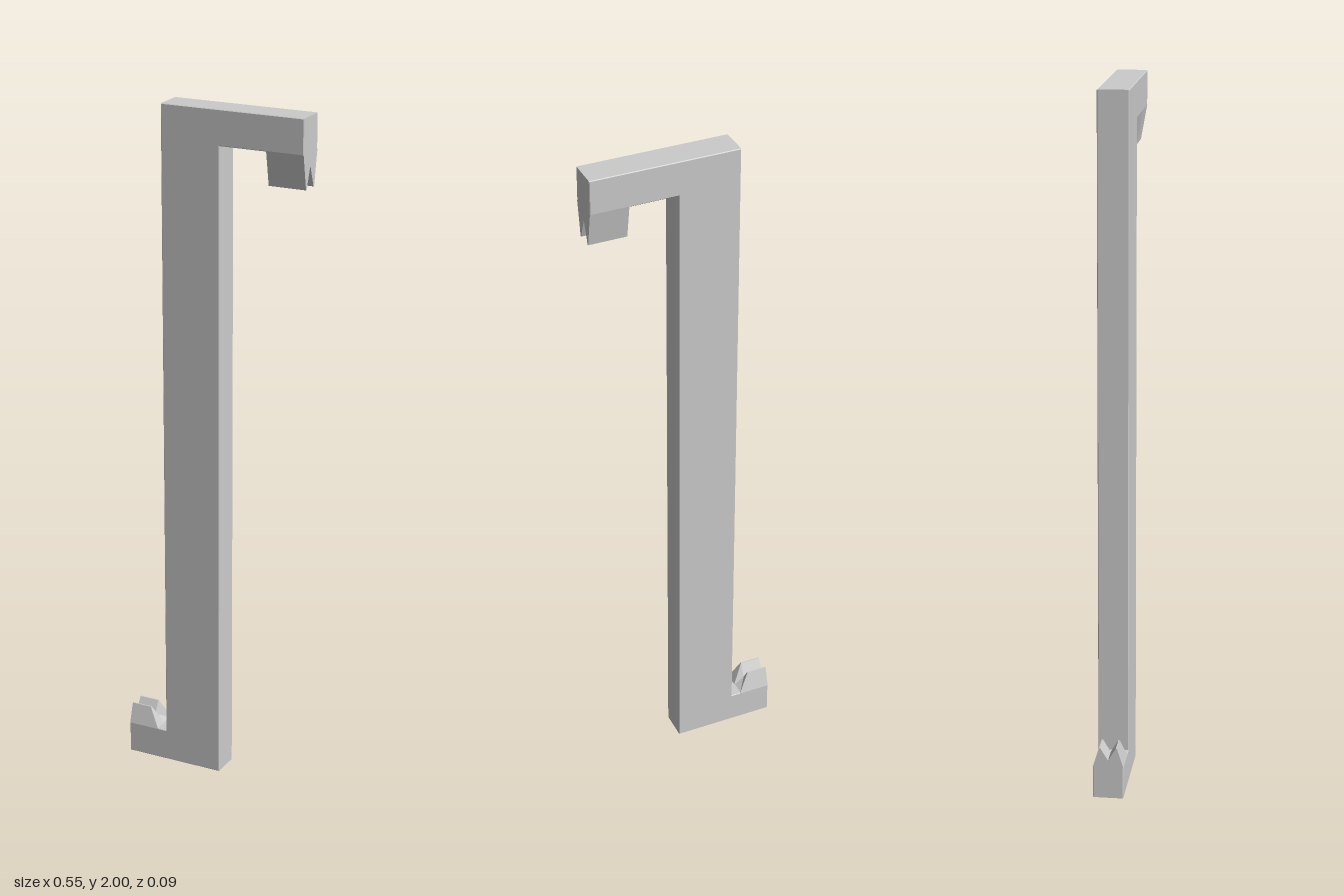
import * as THREE from 'three';

const HALF = 0.044; // half thickness in z
const BEVEL = 0.002;

// Twin-ridged section: two sharp teeth with a V notch between them
function ridgedShape(base, tip, notch) {
  return new THREE.Shape([
    [-HALF, base], [HALF, base], [0.026, tip], [0.022, tip],
    [0, notch], [-0.022, tip], [-0.026, tip],
  ].map(([z, y]) => new THREE.Vector2(z, y)));
}

// Runs a section along x through the given stations
function alongX(shape, stations, adjust) {
  const geo = new THREE.ExtrudeGeometry(shape, {
    depth: stations.length - 1, steps: stations.length - 1, bevelEnabled: false,
  });
  geo.rotateY(Math.PI / 2);
  const p = geo.attributes.position;
  for (let i = 0; i < p.count; i++) {
    const station = Math.round(p.getX(i));
    p.setX(i, stations[station]);
    if (adjust) adjust(p, i, station);
  }
  geo.computeVertexNormals();
  return geo;
}

export function createModel() {
  const group = new THREE.Group();
  const material = new THREE.MeshStandardMaterial({ color: 0xcccccc, flatShading: true });
  const add = (name, geo) => {
    const mesh = new THREE.Mesh(geo, material);
    mesh.name = name;
    group.add(mesh);
  };

  // Z-shaped bar: post with an arm at the top and a foot at the bottom
  const outline = new THREE.Shape([
    [-0.275, 0], [0.025, 0], [0.025, 1.9], [0.275, 1.9],
    [0.275, 2], [-0.152, 2], [-0.152, 0.095], [-0.275, 0.095],
  ].map(([x, y]) => new THREE.Vector2(x, y)));
  const body = new THREE.ExtrudeGeometry(outline, {
    depth: 2 * (HALF - BEVEL), bevelEnabled: true, bevelSegments: 1,
    bevelThickness: BEVEL, bevelSize: BEVEL, bevelOffset: -BEVEL,
  });
  body.translate(0, 0, -(HALF - BEVEL));
  add('bar', body);

  // Upper prongs, made upright and turned over to hang from the arm
  const upper = alongX(ridgedShape(-0.002, 0.097, 0.036), [-0.055, 0.055]);
  upper.rotateX(Math.PI);
  upper.translate(0.22, 1.9, 0);
  add('upperProngs', upper);

  // Lower prongs, whose inner end slopes down and spreads to the foot's full width
  const base = 0.093;
  const lower = alongX(ridgedShape(base, 0.152, 0.115), [-0.275, -0.213, -0.18], (p, i, station) => {
    if (station < 2) return;
    p.setY(i, base);
    p.setZ(i, Math.sign(Math.round(p.getZ(i) * 1000)) * HALF);
  });
  add('lowerProngs', lower);

  return group;
}
